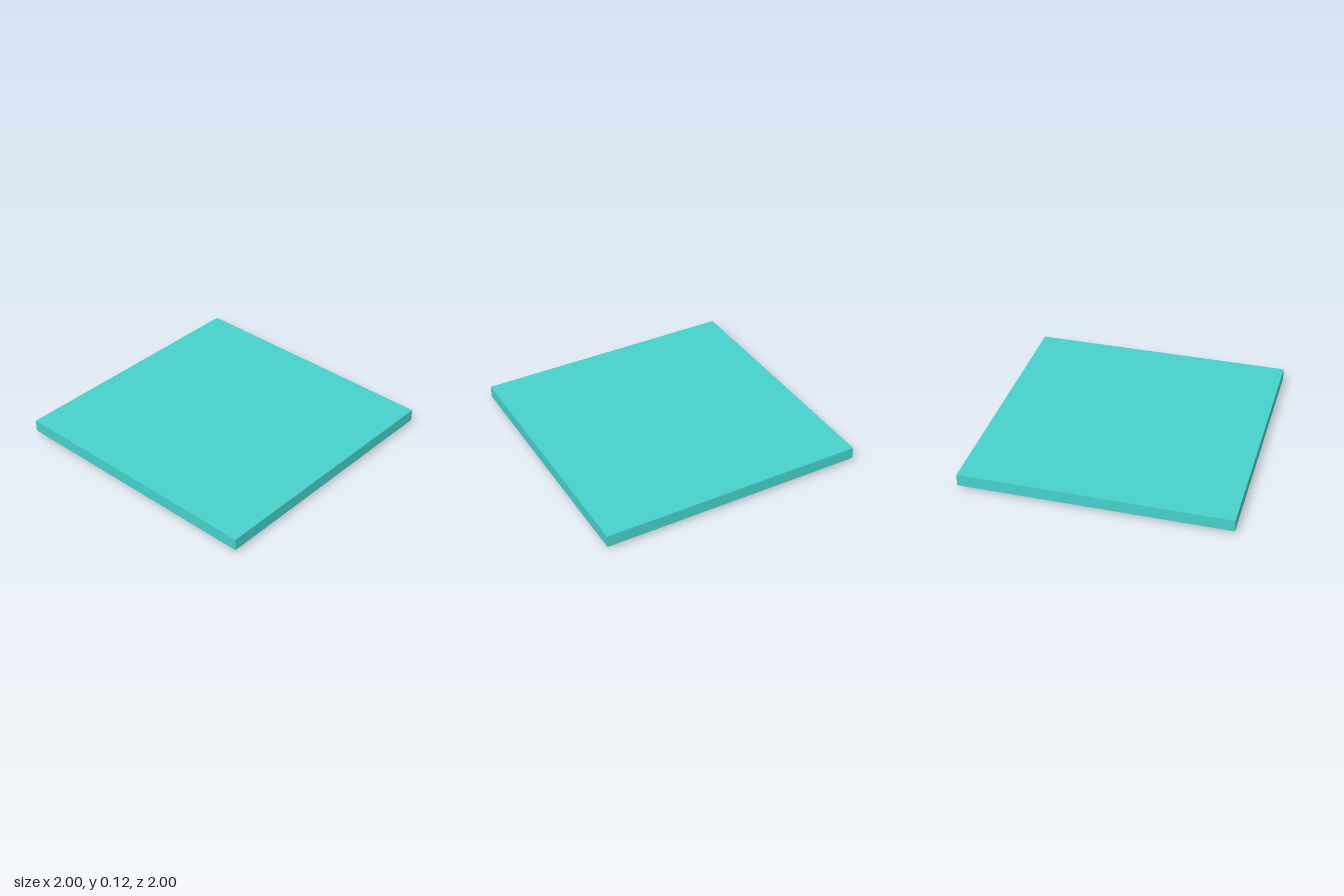
import * as THREE from 'three';

const BOTTOM = 0.03, TOP = 0.12;      // slab heights
const DEPTH = 0.03;                   // stud height and pocket depth
const WIDE = 0.18, NARROW = 0.16;     // stud and pocket widths
const PITCH = 0.364, COUNT = 5;

const paint = (color) => new THREE.MeshStandardMaterial({ color, flatShading: true });
const slabPaint = paint(0x48d1cc), redPaint = paint(0xd00a10), purplePaint = paint(0xdd11dd);

// Four open walls standing on y = 0; flipped, they taper upward and face inward
function walls(topWidth, bottomWidth, height, flip = false) {
  const geo = new THREE.CylinderGeometry(topWidth / Math.SQRT2, bottomWidth / Math.SQRT2, height, 4, 1, true)
    .rotateY(Math.PI / 4);
  if (flip) geo.scale(1, -1, 1);
  geo.translate(0, height / 2, 0);
  const flat = geo.toNonIndexed();
  flat.computeVertexNormals();
  return flat;
}

function addMesh(parent, name, geometry, material, y) {
  const mesh = new THREE.Mesh(geometry, material);
  mesh.name = name;
  mesh.position.y = y;
  parent.add(mesh);
}

function square(PathType, cx, cy, width) {
  const h = width / 2;
  return new PathType([[-h, -h], [h, -h], [h, h], [-h, h]]
    .map(([x, y]) => new THREE.Vector2(cx + x, cy + y)));
}

export function createModel() {
  const model = new THREE.Group();
  model.name = 'studdedTile';

  // Slab sides and top
  addMesh(model, 'slabSides', walls(2, 2, TOP - BOTTOM), slabPaint, BOTTOM);
  addMesh(model, 'slabTop', new THREE.PlaneGeometry(2, 2).rotateX(-Math.PI / 2), slabPaint, TOP);

  const underside = square(THREE.Shape, 0, 0, 2);
  const studWalls = walls(WIDE, NARROW, DEPTH);
  const pocketWalls = walls(WIDE, NARROW, DEPTH, true);
  const face = new THREE.PlaneGeometry(NARROW, NARROW).rotateX(Math.PI / 2);

  // Checkerboard of raised purple studs and sunken red pockets
  for (let i = 0; i < COUNT; i++) {
    for (let j = 0; j < COUNT; j++) {
      const x = (i - 2) * PITCH, z = (j - 2) * PITCH;
      const raised = (i + j) % 2 === 1;
      const cell = new THREE.Group();
      cell.name = raised ? 'stud' : 'pocket';
      cell.position.set(x, 0, z);
      addMesh(cell, cell.name + 'Walls', raised ? studWalls : pocketWalls, slabPaint, raised ? 0 : BOTTOM);
      addMesh(cell, cell.name + 'Face', face, raised ? purplePaint : redPaint, raised ? 0 : BOTTOM + DEPTH);
      model.add(cell);
      underside.holes.push(square(THREE.Path, x, z, WIDE));
    }
  }

  // Underside with an opening for every stud and pocket
  addMesh(model, 'slabUnderside', new THREE.ShapeGeometry(underside).rotateX(Math.PI / 2), slabPaint, BOTTOM);
  return model;
}
